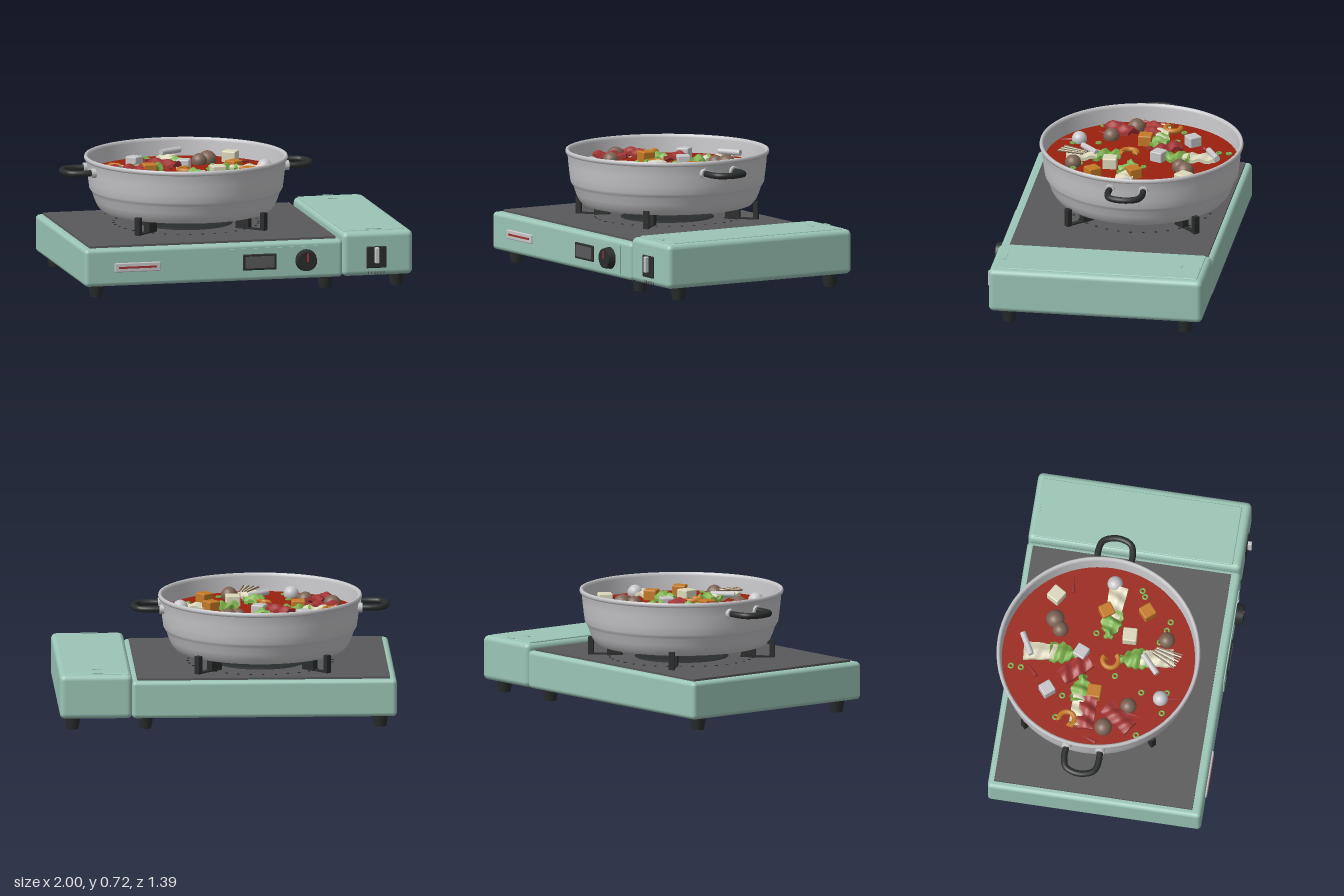
import * as THREE from 'three';
import { RoundedBoxGeometry } from 'three/addons/geometries/RoundedBoxGeometry.js';

function mat(name, color) {
  const m = new THREE.MeshStandardMaterial({ color });
  m.name = name;
  return m;
}

export function createModel() {
  const M = {
    mint: mat('mint enamel', 0x9bc5b6),
    plate: mat('dark grey top', 0x59595b),
    black: mat('black plastic', 0x2a2d2d),
    steel: mat('steel and white', 0xc6c6c9),
    broth: mat('red broth', 0x9a200e),
    cream: mat('cream', 0xdcd8bc),
    green: mat('leaf green', 0x7db04c),
    meat: mat('meat red', 0xa23434),
    brown: mat('meatball brown', 0x7c6253),
    orange: mat('fried orange', 0xc47a26),
  };
  const root = new THREE.Group();
  root.name = 'hotPotOnStove';
  const group = (name, parent = root) => {
    const g = new THREE.Group();
    g.name = name;
    parent.add(g);
    return g;
  };
  const add = (parent, name, geo, m, x = 0, y = 0, z = 0, ry = 0) => {
    const mesh = new THREE.Mesh(geo, m);
    mesh.name = name;
    mesh.position.set(x, y, z);
    mesh.rotation.y = ry;
    parent.add(mesh);
    return mesh;
  };
  const box = (w, h, d) => new THREE.BoxGeometry(w, h, d);
  const rbox = (w, h, d, r) => new RoundedBoxGeometry(w, h, d, 3, r);
  const cyl = (r1, r2, h, n = 20) => new THREE.CylinderGeometry(r1, r2, h, n);

  // Stove body, cooking plate and gas compartment
  const stove = group('stove');
  add(stove, 'body', rbox(1.572, 0.225, 1.28, 0.025), M.mint, -0.214, 0.1875, 0);
  add(stove, 'topPlate', box(1.5, 0.014, 1.19), M.plate, -0.21, 0.305, -0.01);
  add(stove, 'gasCompartment', rbox(0.43, 0.265, 1.28, 0.032), M.mint, 0.785, 0.2075, 0);
  add(stove, 'gasLid', rbox(0.37, 0.014, 1.19, 0.005), M.mint, 0.774, 0.338, -0.01);
  add(stove, 'lidLatch', box(0.1, 0.006, 0.02), M.mint, 0.775, 0.346, 0.57);
  for (const z of [-0.6, -0.485])
    add(stove, 'lidHinge', box(0.06, 0.006, 0.012), M.mint, 0.775, 0.346, z);
  for (const x of [-0.905, 0.49, 0.922]) for (const z of [-0.53, 0.525])
    add(stove, 'foot', cyl(0.05, 0.036, 0.085), M.black, x, 0.0425, z);

  // Front badge, control panel, display and knob
  const front = group('frontControls');
  add(front, 'badge', rbox(0.28, 0.055, 0.016, 0.006), M.steel, -0.68, 0.187, 0.642);
  add(front, 'badgeStripe', box(0.23, 0.012, 0.004), M.meat, -0.68, 0.187, 0.651);
  add(front, 'controlPanel', box(0.585, 0.165, 0.014), M.mint, 0.168, 0.188, 0.639);
  add(front, 'displayFrame', rbox(0.205, 0.096, 0.016, 0.006), M.black, 0.062, 0.188, 0.647);
  add(front, 'displayScreen', box(0.175, 0.07, 0.005), M.plate, 0.062, 0.188, 0.655);
  const knob = add(front, 'knob', cyl(0.058, 0.066, 0.045, 32), M.black, 0.345, 0.187, 0.667);
  knob.rotation.x = Math.PI / 2;
  add(front, 'knobPointer', box(0.012, 0.05, 0.006), M.meat, 0.345, 0.21, 0.69);
  for (let i = 0; i < 6; i++) {
    const a = -0.9 + i * 0.36;
    add(front, 'knobMark', box(0.008, 0.008, 0.004), M.steel,
      0.345 + 0.082 * Math.cos(a), 0.187 + 0.075 * Math.sin(a), 0.646);
  }

  // Gas lever and vents
  add(front, 'leverSlot', rbox(0.12, 0.13, 0.014, 0.005), M.black, 0.775, 0.187, 0.642);
  add(front, 'gasLever', rbox(0.026, 0.095, 0.03, 0.006), M.steel, 0.775, 0.2, 0.658);
  for (let i = 0; i < 6; i++)
    add(front, 'vent', box(0.006, 0.02, 0.004), M.plate, 0.728 + i * 0.019, 0.093, 0.637);

  // Burner and pot supports, centred under the pot
  const cook = group('burnerAndPot');
  cook.position.set(-0.21, 0, -0.095);
  add(cook, 'burnerDisc', cyl(0.26, 0.28, 0.01, 40), M.black, 0, 0.316, 0);
  for (let i = 0; i < 36; i++) {
    const a = (i / 36) * Math.PI * 2;
    add(cook, 'burnerHole', cyl(0.008, 0.008, 0.004, 8), M.black,
      0.43 * Math.cos(a), 0.313, 0.43 * Math.sin(a));
  }
  for (let i = 0; i < 4; i++) {
    const arm = group('potSupport', cook);
    arm.rotation.y = Math.PI / 4 + (i * Math.PI) / 2;
    add(arm, 'supportBlock', box(0.085, 0.085, 0.04), M.black, 0.4, 0.35, 0);
    add(arm, 'supportArm', box(0.2, 0.012, 0.03), M.black, 0.45, 0.314, 0);
    add(arm, 'supportPost', box(0.03, 0.108, 0.035), M.black, 0.54, 0.364, 0);
  }

  // Pot shell, outside up to the rolled rim and down inside
  const profile = [[0, 0.388], [0.49, 0.388], [0.505, 0.393], [0.527, 0.42], [0.543, 0.455],
    [0.556, 0.495], [0.565, 0.51], [0.574, 0.525], [0.58, 0.57], [0.587, 0.63], [0.592, 0.69],
    [0.601, 0.693], [0.605, 0.705], [0.602, 0.717], [0.594, 0.72], [0.584, 0.715],
    [0.58, 0.7], [0.574, 0.62], [0.568, 0.58]].map(([r, y]) => new THREE.Vector2(r, y));
  add(cook, 'pot', new THREE.LatheGeometry(profile, 72), M.steel);
  const soup = new THREE.CircleGeometry(0.574, 64);
  soup.rotateX(-Math.PI / 2);
  add(cook, 'broth', soup, M.broth, 0, 0.612, 0);

  // Side handles with washers
  for (const s of [0, Math.PI]) {
    const h = group('handle', cook);
    h.rotation.y = s;
    const path = new THREE.CatmullRomCurve3([[0.585, -0.1], [0.66, -0.103], [0.72, -0.085],
      [0.747, -0.03], [0.747, 0.03], [0.72, 0.085], [0.66, 0.103], [0.585, 0.1]]
      .map(([x, z]) => new THREE.Vector3(x, 0.647, z)));
    add(h, 'handleGrip', new THREE.TubeGeometry(path, 40, 0.019, 12), M.black);
    for (const z of [-0.1, 0.1]) {
      const w = add(h, 'handleWasher', cyl(0.029, 0.029, 0.03), M.steel, 0.587, 0.647, z);
      w.rotation.z = Math.PI / 2;
    }
  }

  // Food, placed by [x, z, ...] on the broth
  const food = group('food');
  const L = 0.62;

  // Wavy slab along +x with a width that varies along its length
  const slab = (len, wid, wave, edge) => {
    const g = new THREE.BoxGeometry(len, 0.022, wid, 16, 1, 6);
    const p = g.attributes.position;
    for (let i = 0; i < p.count; i++) {
      const u = p.getX(i) / len, v = p.getZ(i) / wid;
      p.setY(i, p.getY(i) + wave * Math.sin(u * 14 + v * 3) + wave * Math.cos(v * 7));
      p.setZ(i, p.getZ(i) * edge(u));
    }
    g.computeVertexNormals();
    return g;
  };

  // Cabbage leaves: green tip towards the middle, pale stem outwards
  const stem = slab(0.2, 0.1, 0.007, (u) => 1 + u * 0.25);
  const leafTip = slab(0.17, 0.12, 0.011,
    (u) => Math.sqrt(Math.max(0.15, 1 - 1.3 * Math.max(0, -u) * 2)) + 0.1 * Math.sin(u * 25));
  for (const [x, z, a] of [[-0.22, -0.36, -1.65], [-0.48, -0.16, 3.08], [0.06, -0.05, 0.05],
    [-0.18, 0.17, 1.4]]) {
    const leaf = group('cabbageLeaf', food);
    leaf.position.set(x, L + 0.01, z);
    leaf.rotation.y = -a;
    add(leaf, 'stem', stem, M.cream, 0.08, 0.004, 0);
    add(leaf, 'leafTip', leafTip, M.green, -0.06, 0.006, 0);
  }

  // Meat slices
  const slice = slab(0.2, 0.1, 0.009, () => 1);
  for (const [x, z, a] of [[-0.31, -0.22, 0.85], [-0.575, -0.11, 0], [-0.575, 0.08, -0.95]])
    add(food, 'meatSlice', slice, M.meat, x, L + 0.028, z, -a);

  // Meatballs and fish balls
  for (const [x, z, r, m] of [[-0.01, -0.385, 0.055, M.brown], [-0.07, -0.345, 0.047, M.brown],
    [-0.642, 0, 0.053, M.brown], [-0.487, 0.128, 0.048, M.brown], [-0.043, 0.29, 0.048, M.brown],
    [0.262, -0.068, 0.046, M.steel], [-0.412, 0.308, 0.046, M.steel]])
    add(food, 'ball', new THREE.SphereGeometry(r, 20, 14), m, x, L + 0.01, z);

  // Tofu and fried cubes
  for (const [x, z, s, a, m] of [[-0.437, -0.085, 0.082, 0, M.orange],
    [0.08, -0.09, 0.08, 0.6, M.orange], [0.11, 0.15, 0.08, 0.7, M.orange],
    [0.134, -0.4, 0.085, -0.55, M.cream], [-0.055, 0.07, 0.085, 0.05, M.cream],
    [-0.46, -0.365, 0.078, 0.7, M.steel], [-0.2, -0.2, 0.078, -0.4, M.steel]])
    add(food, 'cube', rbox(s, s * 0.85, s, 0.008), m, x, L + 0.02, z, a);

  // Shrimp: tapered curls
  const curl = new THREE.TorusGeometry(0.047, 0.016, 10, 24, 4.4);
  curl.rotateX(-Math.PI / 2);
  for (const [x, z, a] of [[-0.63, -0.22, 3.8], [-0.222, -0.02, 1.2]]) {
    add(food, 'shrimp', curl, M.orange, x, L + 0.02, z, a);
    const tail = add(food, 'shrimpTail', new THREE.ConeGeometry(0.02, 0.04, 8), M.orange,
      x + 0.047 * Math.cos(a), L + 0.02, z - 0.047 * Math.sin(a));
    tail.rotation.set(-Math.PI / 2, 0, -a);
  }

  // Sticks lying on the broth: rice cakes, thin mushrooms, chillies
  const lying = (name, geo, m, x, y, z, a) => {
    const g = geo.clone();
    g.rotateZ(-Math.PI / 2);
    add(food, name, g, m, x, y, z, -a);
  };
  lying('riceCake', cyl(0.018, 0.018, 0.145), M.steel, -0.203, L + 0.045, -0.525, -0.5);
  lying('riceCake', cyl(0.018, 0.018, 0.145), M.steel, -0.215, L + 0.03, 0.215, -0.75);
  for (let i = 0; i < 7; i++)
    lying('thinMushroom', cyl(0.005, 0.004, 0.16, 6), i % 2 ? M.cream : M.brown,
      -0.185 + i * 0.011, L + 0.042, 0.29 + i * 0.005, 2.05 - i * 0.05);
  for (const [x, z, a] of [[-0.345, -0.475, -0.7], [-0.725, -0.075, -1.2], [0.22, -0.31, -0.1],
    [-0.405, 0.385, 1.5], [-0.54, 0.17, 1.8]])
    lying('chilli', new THREE.ConeGeometry(0.013, 0.1, 8), M.meat, x, L + 0.005, z, a);

  // Chopped green onion rings
  const ring = new THREE.TorusGeometry(0.014, 0.006, 6, 10);
  ring.rotateX(-Math.PI / 2);
  for (const [x, z] of [[-0.34, -0.6], [-0.34, -0.54], [-0.43, -0.12], [-0.66, 0.2], [-0.39, 0.19],
    [-0.5, 0.33], [-0.37, 0.34], [0.02, 0.28], [0.245, 0.1], [0.21, 0.12], [0.075, 0.295],
    [-0.48, -0.27], [-0.06, -0.13], [-0.18, 0.33], [-0.62, -0.29], [-0.31, 0.02], [-0.06, 0.25]])
    add(food, 'onionRing', ring, M.green, x, L, z);

  return root;
}
